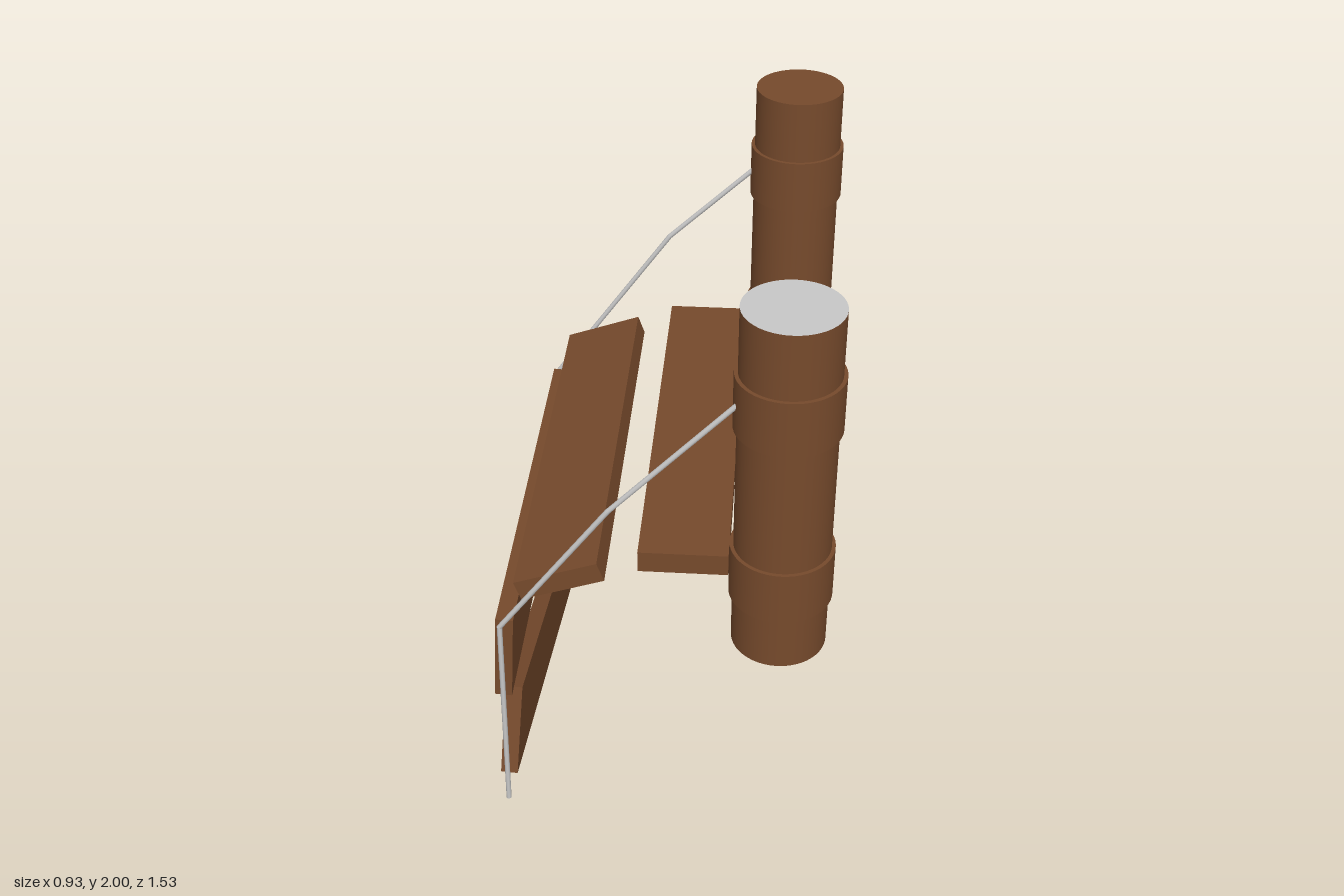
import * as THREE from 'three';

export function createModel() {
  const group = new THREE.Group();
  group.name = 'brokenRopeBridge';
  const material = (name, color) => {
    const m = new THREE.MeshStandardMaterial({ color });
    m.name = name;
    return m;
  };
  const wood = material('brownWood', 0x764a2c);
  const grey = material('ropeGrey', 0xc8c8c8);

  const add = (name, geometry, mat, x, y, z) => {
    const mesh = new THREE.Mesh(geometry, mat);
    mesh.name = name;
    mesh.position.set(x, y, z);
    group.add(mesh);
    return mesh;
  };

  // Posts with two raised bands; the front post has grey ends
  for (const [side, z, ends] of [['front', 0.627, grey], ['back', -0.63, wood]]) {
    add(side + 'Post', new THREE.CylinderGeometry(0.128, 0.128, 1.025, 48), [wood, ends, ends], 0.325, 1.4875, z);
    for (const [label, y] of [['UpperBand', 1.74], ['LowerBand', 1.213]]) {
      add(side + label, new THREE.CylinderGeometry(0.138, 0.138, 0.157, 48), wood, 0.325, y, z);
    }
  }

  // Planks: name, width, thickness, length, centre x, centre y, lean about z, tilt about x
  const planks = [
    ['levelPlank', 0.24, 0.063, 1.26, 0.066, 1.207, 0, 0],
    ['slopingPlank', 0.24, 0.06, 1.26, -0.267, 1.125, 0.335, 0],
    ['hangingPlank', 0.281, 0.049, 1.26, -0.432, 0.838, Math.PI / 2 - 0.066, 0],
    ['fallenPlank', 0.288, 0.049, 1.244, -0.432, 0.375, Math.PI / 2 - 0.066, -0.252],
  ];
  for (const [name, w, t, l, x, y, lean, tilt] of planks) {
    add(name, new THREE.BoxGeometry(w, t, l), wood, x, y, 0).rotation.set(tilt, 0, lean);
  }

  // Ropes: straight lengths between kinks
  const ropes = {
    frontRope: [[0.2, 1.745, 0.668], [-0.125, 1.4, 0.668], [-0.434, 0.965, 0.643], [-0.447, 0.295, 0.645]],
    backRope: [[0.2, 1.745, -0.608], [-0.06, 1.495, -0.623], [-0.434, 0.965, -0.643], [-0.449, 0, -0.608]],
  };
  const up = new THREE.Vector3(0, 1, 0);
  for (const [name, coords] of Object.entries(ropes)) {
    const points = coords.map((c) => new THREE.Vector3(...c));
    for (let i = 0; i < points.length - 1; i++) {
      const run = points[i + 1].clone().sub(points[i]);
      const mid = points[i].clone().addScaledVector(run, 0.5);
      const rope = add(name + (i + 1), new THREE.CylinderGeometry(0.0075, 0.0075, run.length() + 0.004, 8), grey, mid.x, mid.y, mid.z);
      rope.quaternion.setFromUnitVectors(up, run.normalize());
    }
  }
  return group;
}
